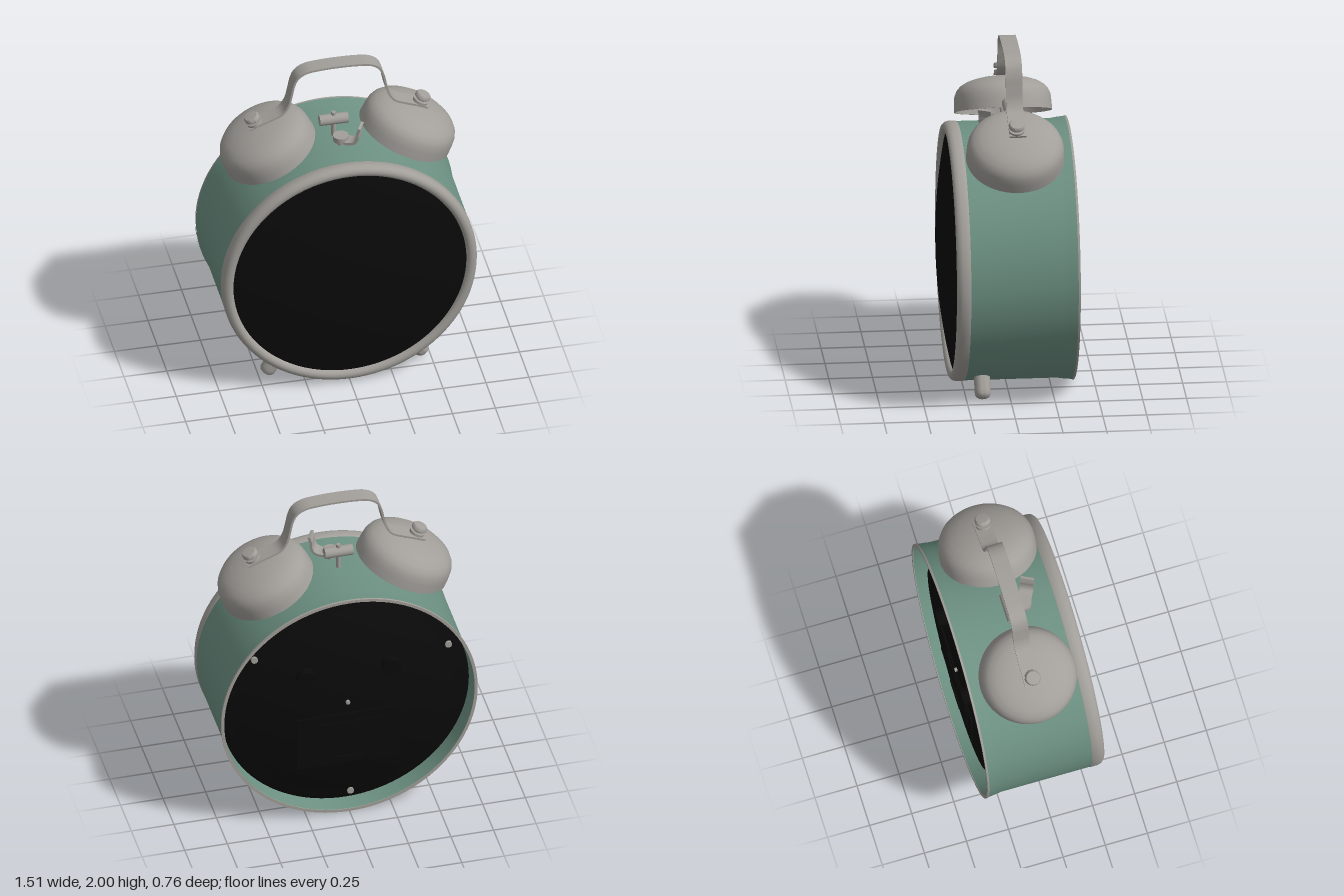
import * as THREE from 'three';
import { toCreasedNormals } from 'three/addons/utils/BufferGeometryUtils.js';

const CY = 0.755; // height of the case axis

const material = (name, color) => {
  const m = new THREE.MeshStandardMaterial({ color });
  m.name = name;
  return m;
};

export function createModel() {
  const green = material('case green', 0x6d9183);
  const steel = material('brushed steel', 0xa29f9a);
  const black = material('black', 0x0a0a0a);
  const model = new THREE.Group();
  model.name = 'alarmClock';

  const add = (parent, name, geometry, mat, x = 0, y = 0, z = 0) => {
    const mesh = new THREE.Mesh(geometry, mat);
    mesh.name = name;
    mesh.position.set(x, y, z);
    parent.add(mesh);
    return mesh;
  };
  const group = (name, x, y, z) => {
    const g = new THREE.Group();
    g.name = name;
    g.position.set(x, y, z);
    model.add(g);
    return g;
  };
  const lathe = (points, segments = 96) =>
    toCreasedNormals(new THREE.LatheGeometry(points.map(p => new THREE.Vector2(...p)), segments), 0.7);
  // Profile of (radius, z) pairs turned around the case axis
  const turned = (name, points, mat) => add(model, name, lathe(points).rotateX(Math.PI / 2), mat, 0, CY, 0);
  const rod = (r, h) => new THREE.CylinderGeometry(r, r, h, 32);
  const zRod = (r, h) => rod(r, h).rotateX(Math.PI / 2);

  // Metal strip that follows a path in the xy plane
  const strip = (points, thickness, width, samples) => {
    const curve = new THREE.CatmullRomCurve3(points.map(p => new THREE.Vector3(p[0], p[1], 0)));
    const upper = [], lower = [];
    for (let i = 0; i <= samples; i++) {
      const p = curve.getPointAt(i / samples), t = curve.getTangentAt(i / samples);
      const nx = -t.y * thickness / 2, ny = t.x * thickness / 2;
      upper.push(new THREE.Vector2(p.x + nx, p.y + ny));
      lower.unshift(new THREE.Vector2(p.x - nx, p.y - ny));
    }
    const g = new THREE.ExtrudeGeometry(new THREE.Shape([...upper, ...lower]), { depth: width, bevelEnabled: false });
    return toCreasedNormals(g.translate(0, 0, -width / 2), 0.6);
  };

  // Case: open drum with a flared back edge
  turned('case', [[0.727, 0.25], [0.727, -0.27], [0.735, -0.37], [0.75, -0.37],
    [0.745, -0.32], [0.739, -0.28], [0.739, 0.25], [0.727, 0.25]], green);
  turned('backRim', [[0.735, -0.362], [0.735, -0.374], [0.753, -0.374], [0.753, -0.362]], steel);
  turned('frontBezel', [[0.68, 0.245], [0.735, 0.245], [0.742, 0.255], [0.742, 0.295], [0.736, 0.315],
    [0.722, 0.328], [0.705, 0.33], [0.69, 0.325], [0.68, 0.312], [0.676, 0.28]], steel);

  // Domed front
  const dome = [];
  for (let i = 0; i <= 14; i++) {
    const r = 0.685 * (1 - i / 14);
    dome.push([r, 0.38 - 0.165 * r * r]);
  }
  turned('glass', dome, black);

  // Recessed back plate with its fittings
  turned('backPlate', [[0, -0.33], [0.6, -0.325], [0.625, -0.305], [0.68, -0.295], [0.727, -0.27]], black);
  for (const s of [-1, 1]) add(model, 'settingKnob', zRod(0.055, 0.06), black, s * 0.25, 0.985, -0.351);
  add(model, 'batteryCover', new THREE.BoxGeometry(0.6, 0.35, 0.02), black, 0, 0.5, -0.327);
  add(model, 'batteryPanel', new THREE.BoxGeometry(0.39, 0.19, 0.01), black, -0.03, 0.525, -0.339);
  add(model, 'batteryLatch', new THREE.BoxGeometry(0.18, 0.04, 0.015), black, 0, 0.36, -0.339);
  add(model, 'centrePin', zRod(0.012, 0.02), steel, 0, CY, -0.335);
  for (const deg of [35, 155, 268]) {
    const a = deg * Math.PI / 180;
    add(model, 'backScrew', zRod(0.02, 0.02), steel, 0.66 * Math.cos(a), CY + 0.66 * Math.sin(a), -0.302);
  }

  // Bells on posts, with nuts on top, and splayed feet
  const bellProfile = [[0, 0.192], [0.1, 0.182], [0.19, 0.155], [0.24, 0.125], [0.264, 0.085], [0.272, 0],
    [0.28, 0], [0.278, 0.05], [0.274, 0.09], [0.262, 0.12], [0.24, 0.146], [0.2, 0.17], [0.15, 0.186],
    [0.1, 0.196], [0.05, 0.202], [0, 0.204]];
  for (const s of [-1, 1]) {
    const bell = group(s > 0 ? 'leftBell' : 'rightBell', s * 0.39, 1.45, -0.03);
    bell.rotation.z = -s * 0.43;
    add(bell, 'bellShell', lathe(bellProfile, 64), steel);
    add(bell, 'bellPost', rod(0.018, 0.28), steel, 0, 0.06, 0);
    add(bell, 'lowerNut', rod(0.044, 0.022), steel, 0, 0.224, 0);
    add(bell, 'nutNeck', rod(0.026, 0.04), steel, 0, 0.24, 0);
    add(bell, 'nutCap', lathe([[0, 0.247], [0.04, 0.247], [0.045, 0.252], [0.045, 0.268],
      [0.038, 0.277], [0, 0.28]], 32), steel);

    const foot = group(s > 0 ? 'leftFoot' : 'rightFoot', 0, CY, 0.16);
    foot.rotation.z = s * 0.564;
    add(foot, 'footPeg', lathe([[0, -0.866], [0.02, -0.864], [0.036, -0.856], [0.044, -0.842],
      [0.046, -0.82], [0.046, -0.725]], 32), steel);
  }

  // Carrying handle, mirrored about the middle
  const half = [[0.52, 1.627], [0.45, 1.657], [0.385, 1.682], [0.325, 1.712], [0.293, 1.76], [0.275, 1.83],
    [0.26, 1.9], [0.235, 1.95], [0.185, 1.98], [0.1, 1.991]];
  const handlePath = [...half.map(([x, y]) => [-x, y]), [0, 1.994], ...half.slice().reverse()];
  add(model, 'handle', strip(handlePath, 0.012, 0.095, 90), steel, 0, 0, -0.035);

  // Hammer between the bells
  const hammer = group('hammer', -0.022, 0, -0.03);
  add(hammer, 'hammerPost', rod(0.013, 0.18), steel, 0, 1.565, 0);
  add(hammer, 'hammerHead', rod(0.032, 0.165).rotateZ(Math.PI / 2), steel, 0, 1.605, 0);

  // Stop lever: round base and a bent leaf
  const lever = group('stopLever', 0, 0, 0.065);
  lever.rotation.y = -0.47;
  add(lever, 'leverStem', rod(0.02, 0.06), steel, 0, 1.51, 0);
  add(lever, 'leverBase', rod(0.045, 0.034), steel, 0, 1.538, 0);
  add(lever, 'leverLeaf', strip([[0, 1.527], [0.06, 1.527], [0.09, 1.54], [0.105, 1.57], [0.107, 1.605],
    [0.118, 1.642]], 0.016, 0.078, 24), steel);

  return model;
}
